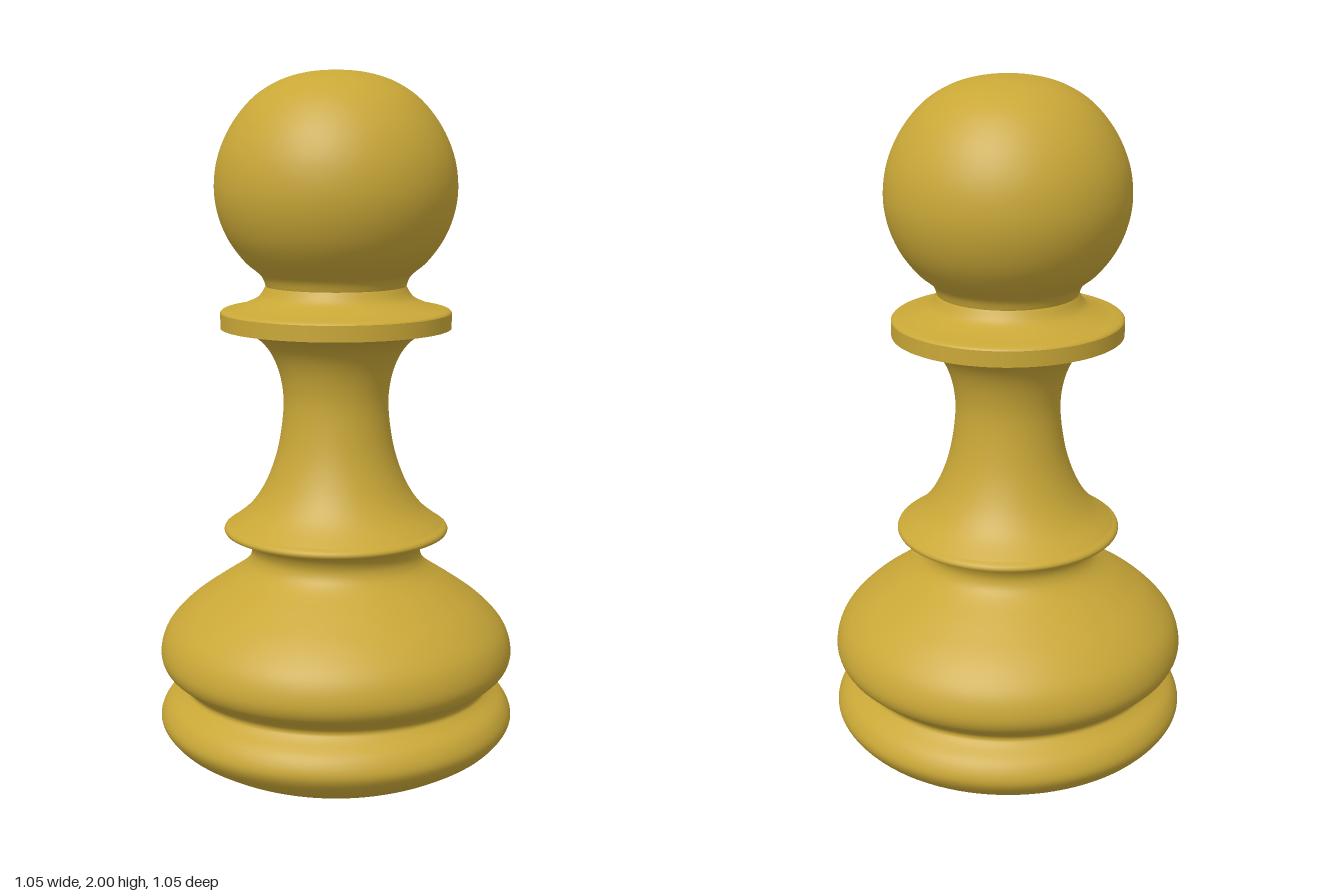
import * as THREE from 'three';

const SEGMENTS = 96;
const material = new THREE.MeshStandardMaterial({ color: 0xc9a737 });

// Turn a profile of [radius, height] points, listed from bottom to top
function turned(name, profile, samples = 0) {
  let points = profile.map(([r, y]) => new THREE.Vector2(r, y));
  if (samples) points = new THREE.SplineCurve(points).getPoints(samples);
  points.forEach((p) => { p.x = Math.max(p.x, 0); });
  const mesh = new THREE.Mesh(new THREE.LatheGeometry(points, SEGMENTS), material);
  mesh.name = name;
  return mesh;
}

export function createModel() {
  const pawn = new THREE.Group();
  pawn.name = 'pawn';

  // Separate turnings keep the edges between them sharp
  pawn.add(
    turned('underside', [[0, 0], [0.39, 0]]),

    // Rounded foot, groove, bulging body and waist up to the lower ring
    turned('base', [
      [0.39, 0], [0.43, 0.021], [0.49, 0.061], [0.524, 0.112], [0.507, 0.162],
      [0.463, 0.198], [0.451, 0.216], [0.465, 0.237], [0.508, 0.273], [0.521, 0.32],
      [0.5, 0.385], [0.44, 0.45], [0.36, 0.508], [0.275, 0.566], [0.25, 0.605],
      [0.258, 0.64], [0.285, 0.664], [0.326, 0.674],
    ], 90),
    turned('lowerRing', [[0.326, 0.674], [0.329, 0.681], [0.325, 0.69], [0.312, 0.698]], 8),

    // Slender concave stem
    turned('stem', [
      [0.312, 0.698], [0.252, 0.748], [0.205, 0.82], [0.17, 0.92], [0.153, 1.04],
      [0.16, 1.125], [0.185, 1.195], [0.225, 1.244], [0.275, 1.268], [0.333, 1.275],
    ], 50),

    // Collar rim and its sloping top
    turned('collarRim', [[0.333, 1.275], [0.333, 1.32]]),
    turned('collarTop', [
      [0.333, 1.32], [0.322, 1.328], [0.275, 1.339], [0.225, 1.362], [0.202, 1.395],
    ], 24),

    // Ball head flowing out of the neck
    turned('head', [
      [0.202, 1.395], [0.216, 1.426], [0.262, 1.466], [0.308, 1.529], [0.337, 1.603],
      [0.346, 1.68], [0.333, 1.765], [0.295, 1.849], [0.235, 1.922], [0.162, 1.969],
      [0.082, 1.993], [0, 2],
    ], 64),
  );
  return pawn;
}
